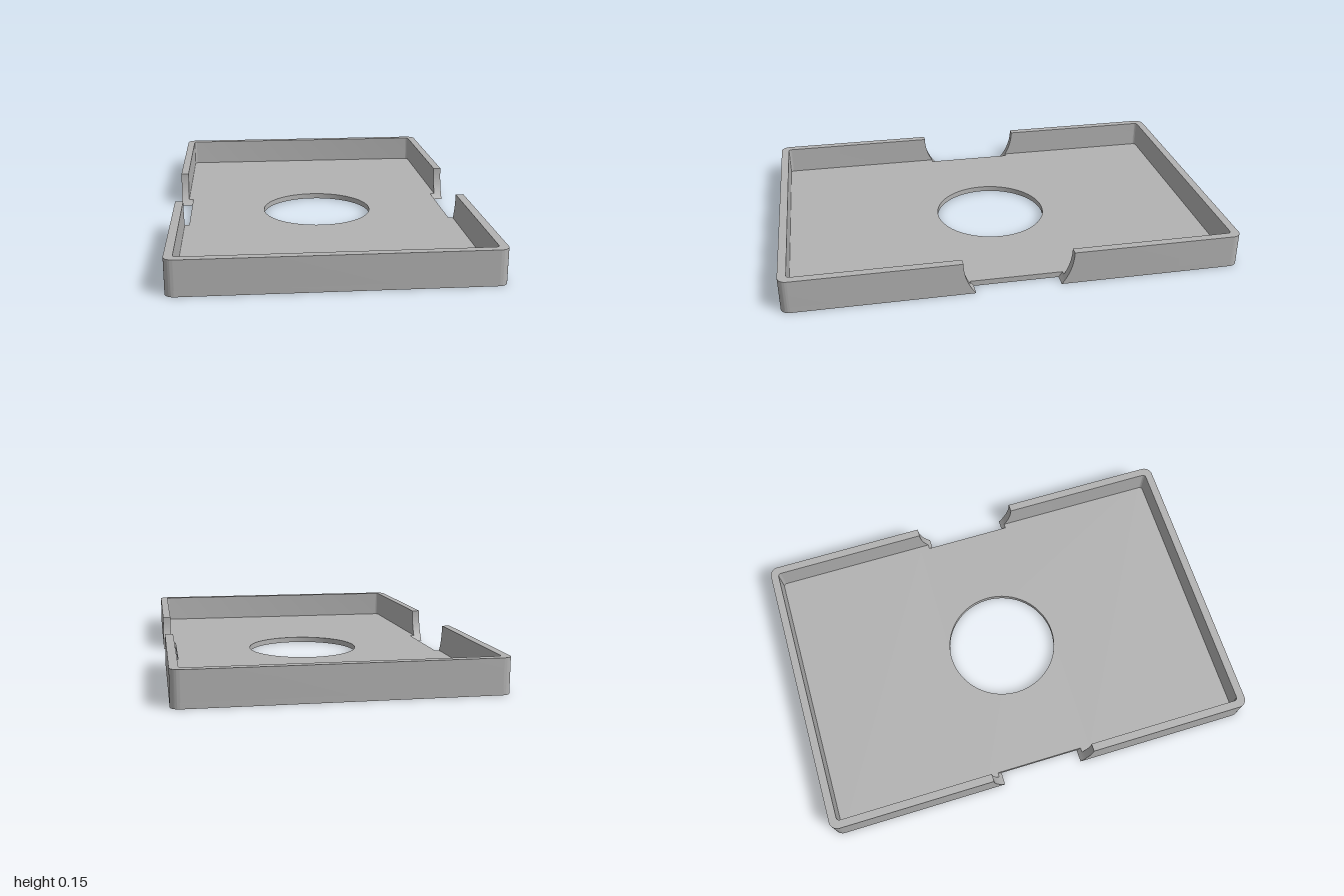
import * as THREE from 'three';
import { toCreasedNormals } from 'three/addons/utils/BufferGeometryUtils.js';

const W = 0.667, L = 1, H = 0.15;          // half width, half length, height
const FLOOR = 0.025, WALL = 0.036;         // thicknesses
const R_OUT = 0.04, R_IN = 0.015;          // corner radii
const CUT_X = 0.61, CUT_R = 0.24;          // side notch inner edge and radius
const JAW_Z = 0.25;                        // where the plain wall begins
const HOLE_R = 0.257;

export function createModel() {
  const group = new THREE.Group();
  const grey = new THREE.MeshStandardMaterial({ color: 0xb2b2b2 });
  grey.name = 'grey';

  const add = (name, geometry) => {
    const mesh = new THREE.Mesh(toCreasedNormals(geometry, 0.6), grey);
    mesh.name = name;
    group.add(mesh);
    return mesh;
  };
  const extrude = (shape, depth, curveSegments = 10) =>
    new THREE.ExtrudeGeometry(shape, { depth, bevelEnabled: false, curveSegments });
  // Plan shapes are drawn in x and -z, then laid flat
  const flat = (shape, y0, y1, segments) =>
    extrude(shape, y1 - y0, segments).rotateX(-Math.PI / 2).translate(0, y0, 0);

  // Floor plate with rounded corners, side notches and a round hole
  const plate = new THREE.Shape();
  plate.moveTo(CUT_X, -JAW_Z).lineTo(CUT_X, JAW_Z).lineTo(W, JAW_Z).lineTo(W, L - R_OUT);
  plate.absarc(W - R_OUT, L - R_OUT, R_OUT, 0, Math.PI / 2);
  plate.absarc(-W + R_OUT, L - R_OUT, R_OUT, Math.PI / 2, Math.PI);
  plate.lineTo(-W, JAW_Z).lineTo(-CUT_X, JAW_Z).lineTo(-CUT_X, -JAW_Z).lineTo(-W, -JAW_Z);
  plate.absarc(-W + R_OUT, -L + R_OUT, R_OUT, Math.PI, Math.PI * 1.5);
  plate.absarc(W - R_OUT, -L + R_OUT, R_OUT, Math.PI * 1.5, Math.PI * 2);
  plate.lineTo(W, -JAW_Z);
  plate.holes.push(new THREE.Path().absarc(0, 0, HOLE_R, 0, Math.PI * 2, true));
  add('floor', flat(plate, 0, FLOOR, 32));

  // U-shaped wall around one end
  const rim = new THREE.Shape();
  const ix = W - WALL, iz = L - WALL;
  rim.moveTo(W, JAW_Z).lineTo(W, L - R_OUT);
  rim.absarc(W - R_OUT, L - R_OUT, R_OUT, 0, Math.PI / 2);
  rim.absarc(-W + R_OUT, L - R_OUT, R_OUT, Math.PI / 2, Math.PI);
  rim.lineTo(-W, JAW_Z).lineTo(-ix, JAW_Z);
  rim.absarc(-ix + R_IN, iz - R_IN, R_IN, Math.PI, Math.PI / 2, true);
  rim.absarc(ix - R_IN, iz - R_IN, R_IN, Math.PI / 2, 0, true);
  rim.lineTo(ix, JAW_Z);

  // Notch side, cut by a circle centred on the top edge, between two heights
  const jaw = (y0, y1, x0, x1) => {
    const shape = new THREE.Shape();
    const at = (y) => -Math.acos((H - y) / CUT_R) + Math.PI / 2;
    shape.moveTo(JAW_Z, y0).lineTo(JAW_Z, y1);
    shape.absarc(0, H, CUT_R, -at2(y1), -at2(y0), true);
    return extrude(shape, x1 - x0, 12).rotateY(-Math.PI / 2).translate(x1, 0, 0);
  };
  const at2 = (y) => Math.asin((H - y) / CUT_R);

  for (const end of [0, 1]) {
    const side = end ? 'front' : 'back';
    const wall = add(side + 'Wall', flat(rim, FLOOR, H));
    wall.rotation.y = end * Math.PI;
    // Each end carries one notch side on the left and one on the right
    for (const [x0, x1, top] of [[ix, W, H], [CUT_X, ix, FLOOR]]) {
      for (const [a, b] of [[x0, x1], [-x1, -x0]]) {
        const part = add(side + (top === H ? 'NotchWall' : 'NotchLedge'), jaw(0, top, a, b));
        part.rotation.y = end ? 0 : Math.PI;
      }
    }
  }
  return group;
}
